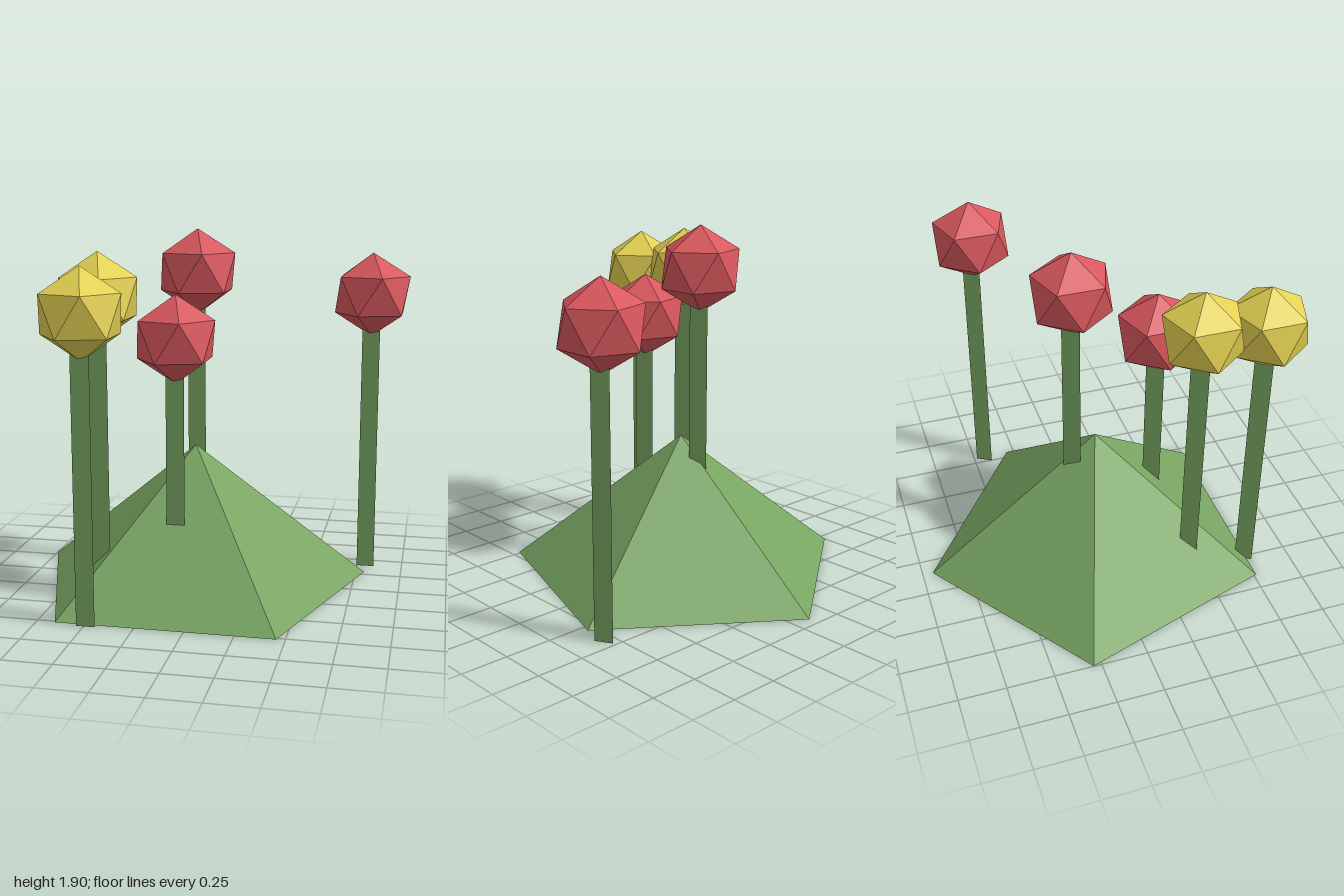
import * as THREE from 'three';

export function createModel() {
  const group = new THREE.Group();
  const paint = (name, color) => {
    const m = new THREE.MeshStandardMaterial({ color, flatShading: true });
    m.name = name;
    return m;
  };
  const green = paint('leaf green', 0x78a562);
  const red = paint('blossom red', 0xd9585e);
  const yellow = paint('blossom yellow', 0xe3d152);

  const add = (name, geometry, material, x, y, z) => {
    const mesh = new THREE.Mesh(geometry, material);
    mesh.name = name;
    mesh.position.set(x, y, z);
    group.add(mesh);
  };

  // Five-sided mound with one corner pointing to the back
  add('mound', new THREE.ConeGeometry(0.945, 0.76, 5, 1, false, Math.PI), green, -0.1, 0.38, 0);

  // Blossom turned so one corner points straight up and another towards +x
  const radius = 0.227;
  const blossom = new THREE.IcosahedronGeometry(radius, 0);
  blossom.rotateZ(-Math.atan(2 / (1 + Math.sqrt(5))));

  // Flowers: x, top height, z, colour
  const flowers = [
    [-0.115, 1.905, -0.127, red],
    [-0.133, 1.6, 0.323, red],
    [0.796, 1.77, -0.428, red],
    [-0.508, 1.815, 0.41, yellow],
    [-0.49, 1.77, 0.76, yellow],
  ];
  flowers.forEach(([x, top, z, colour], i) => {
    const y = top - radius;
    // Three-sided stem, flat side to the front
    const stem = new THREE.CylinderGeometry(0.055, 0.055, y, 3, 1, false, Math.PI);
    add(`stem${i + 1}`, stem, green, x, y / 2, z);
    add(`blossom${i + 1}`, blossom, colour, x, y, z);
  });

  return group;
}
